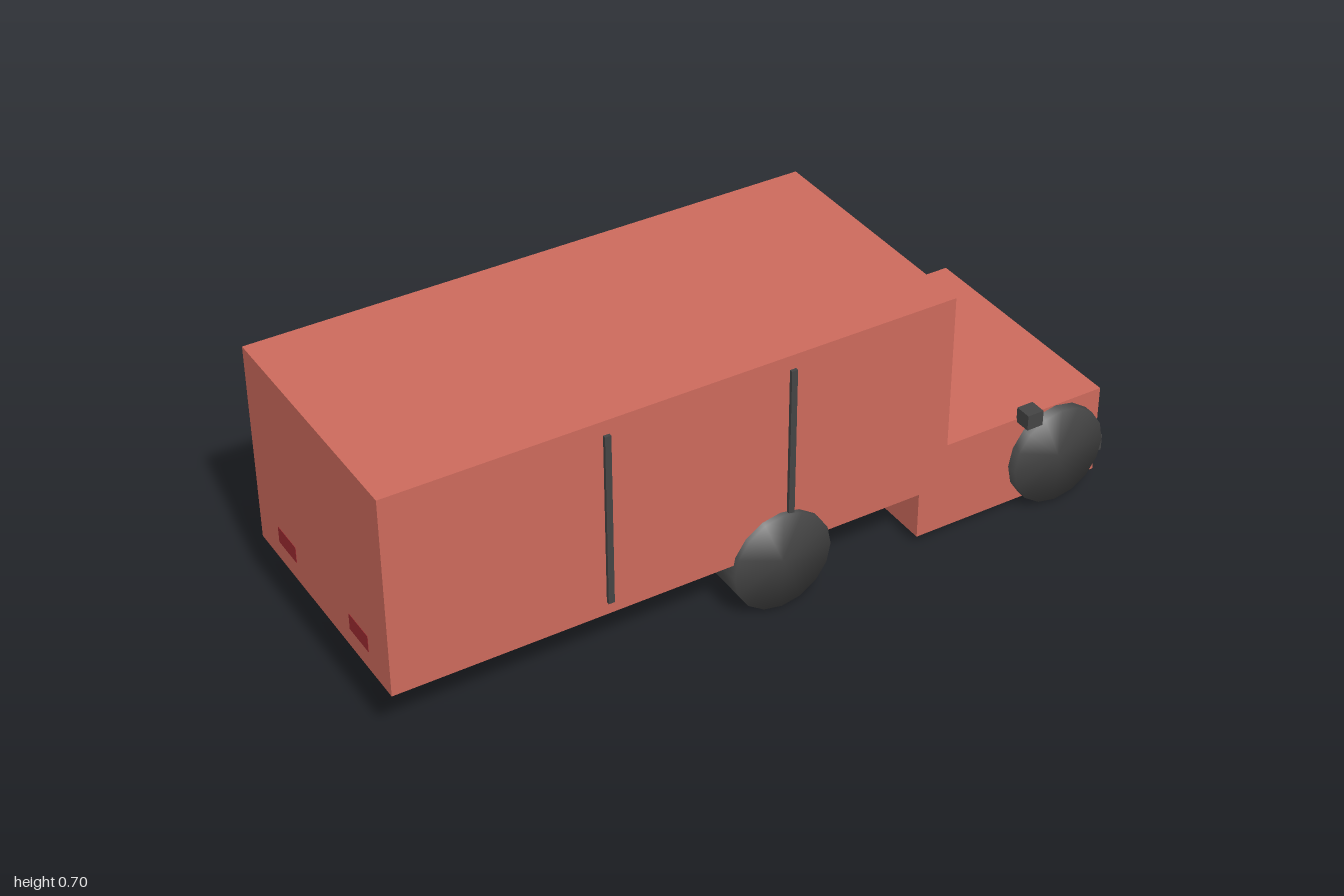
import * as THREE from 'three';
import { mergeVertices } from 'three/addons/utils/BufferGeometryUtils.js';

const paint = (color) => new THREE.MeshStandardMaterial({ color });

export function createModel() {
  const truck = new THREE.Group();
  truck.name = 'boxTruck';

  const red = paint(0xcc6a5c);
  const dark = paint(0x444444);
  const glass = paint(0xb4c2d2);
  const lamp = paint(0xd8c8c0);
  const tailRed = paint(0x9c2a30);

  // Box given by its minimum and maximum on each axis
  function block(name, material, [x0, x1], [y0, y1], [z0, z1]) {
    const mesh = new THREE.Mesh(new THREE.BoxGeometry(x1 - x0, y1 - y0, z1 - z0), material);
    mesh.position.set((x0 + x1) / 2, (y0 + y1) / 2, (z0 + z1) / 2);
    mesh.name = name;
    truck.add(mesh);
  }

  // Body
  block('cargoBox', red, [-1, 0.497], [0.165, 0.705], [-0.341, 0.341]);
  block('cab', red, [0.43, 0.973], [0.025, 0.272], [-0.328, 0.328]);
  block('windshield', glass, [0.555, 0.572], [0.25, 0.337], [-0.218, 0.218]);
  block('grille', dark, [0.96, 0.983], [0.153, 0.235], [-0.185, 0.185]);
  block('bumper', dark, [0.97, 1], [0.07, 0.115], [-0.322, 0.322]);

  // Wheel: cylinder with normals blended across its rim
  let wheelGeometry = new THREE.CylinderGeometry(0.135, 0.135, 0.11, 16);
  wheelGeometry.rotateX(Math.PI / 2);
  wheelGeometry.deleteAttribute('uv');
  wheelGeometry.deleteAttribute('normal');
  wheelGeometry = mergeVertices(wheelGeometry);
  wheelGeometry.computeVertexNormals();

  // Parts mirrored on both sides
  for (const side of [1, -1]) {
    const span = (a, b) => (side > 0 ? [a, b] : [-b, -a]);

    for (const [name, x] of [['rearWheel', 0.02], ['frontWheel', 0.835]]) {
      const wheel = new THREE.Mesh(wheelGeometry, dark);
      wheel.position.set(x, 0.135, side * 0.3);
      wheel.name = name;
      truck.add(wheel);
    }
    for (const x of [-0.443, 0.045]) {
      block('sideRail', dark, [x - 0.008, x + 0.008], [0.2, 0.667], span(0.338, 0.35));
    }
    block('mirror', dark, [0.717, 0.763], [0.263, 0.305], span(0.325, 0.37));
    block('headlight', lamp, [0.96, 0.974], [0.125, 0.175], span(0.14, 0.25));
    block('tailLight', tailRed, [-1.001, -0.98], [0.217, 0.262], span(0.14, 0.235));
  }

  return truck;
}
